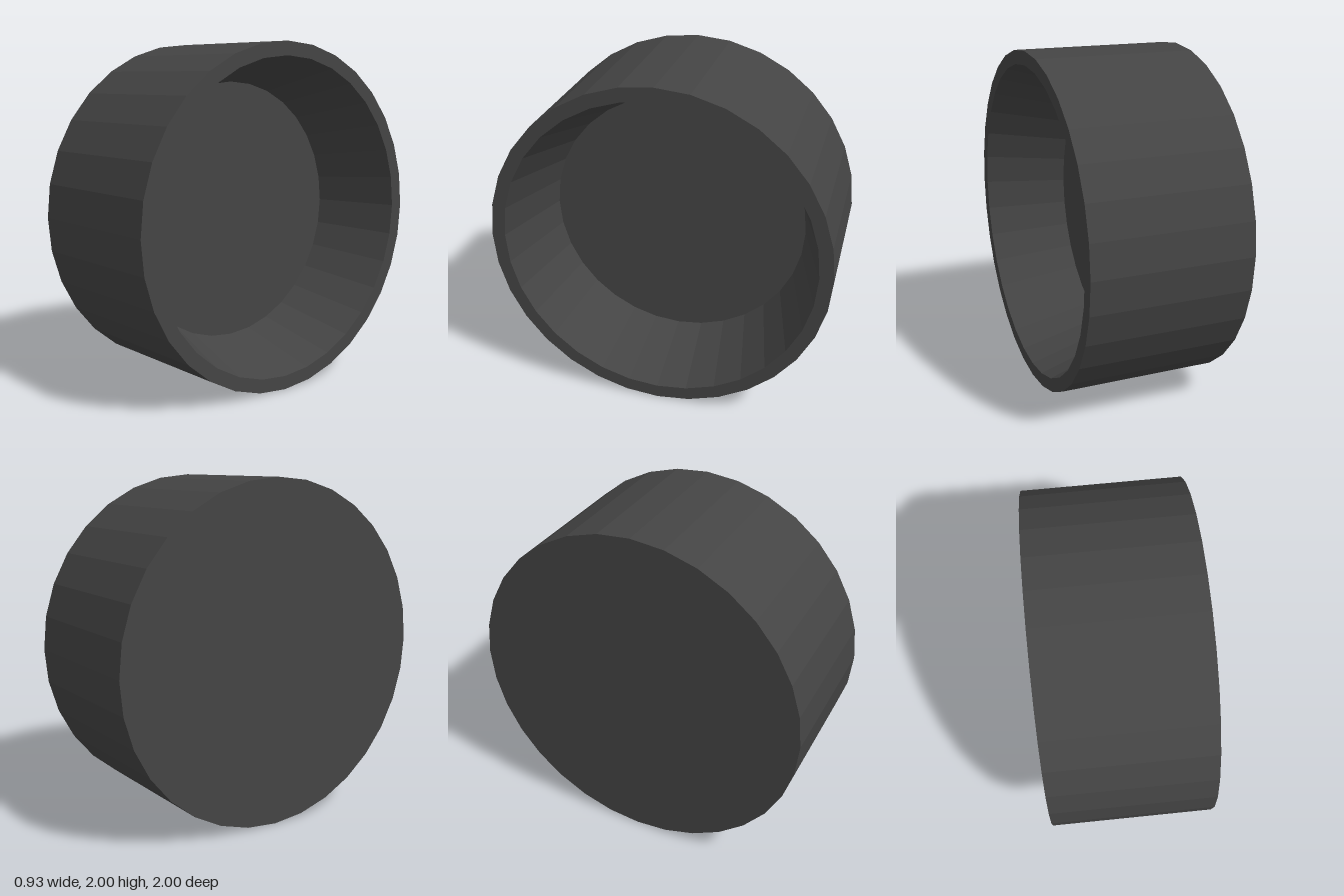
import * as THREE from 'three';

export function createModel() {
  const group = new THREE.Group();
  group.name = 'roundCup';

  const sides = 32;
  const halfWidth = 0.467;
  const floorX = -0.026;

  // Closed profile (radius, position along axis): back disc, outer wall, rim, tapered recess, recess floor
  const profile = [
    [0, -halfWidth],
    [1, -halfWidth],
    [1, halfWidth],
    [0.92, halfWidth],
    [0.775, floorX],
    [0, floorX],
  ].map(([r, a]) => new THREE.Vector2(r, a));

  const material = new THREE.MeshStandardMaterial({ color: 0x444444, flatShading: true });
  const cup = new THREE.Mesh(new THREE.LatheGeometry(profile, sides), material);
  cup.name = 'recessedDrum';

  // Lay the drum on its side with the recess opening towards +x
  cup.rotation.z = -Math.PI / 2;
  cup.position.y = 1;
  group.add(cup);

  return group;
}
